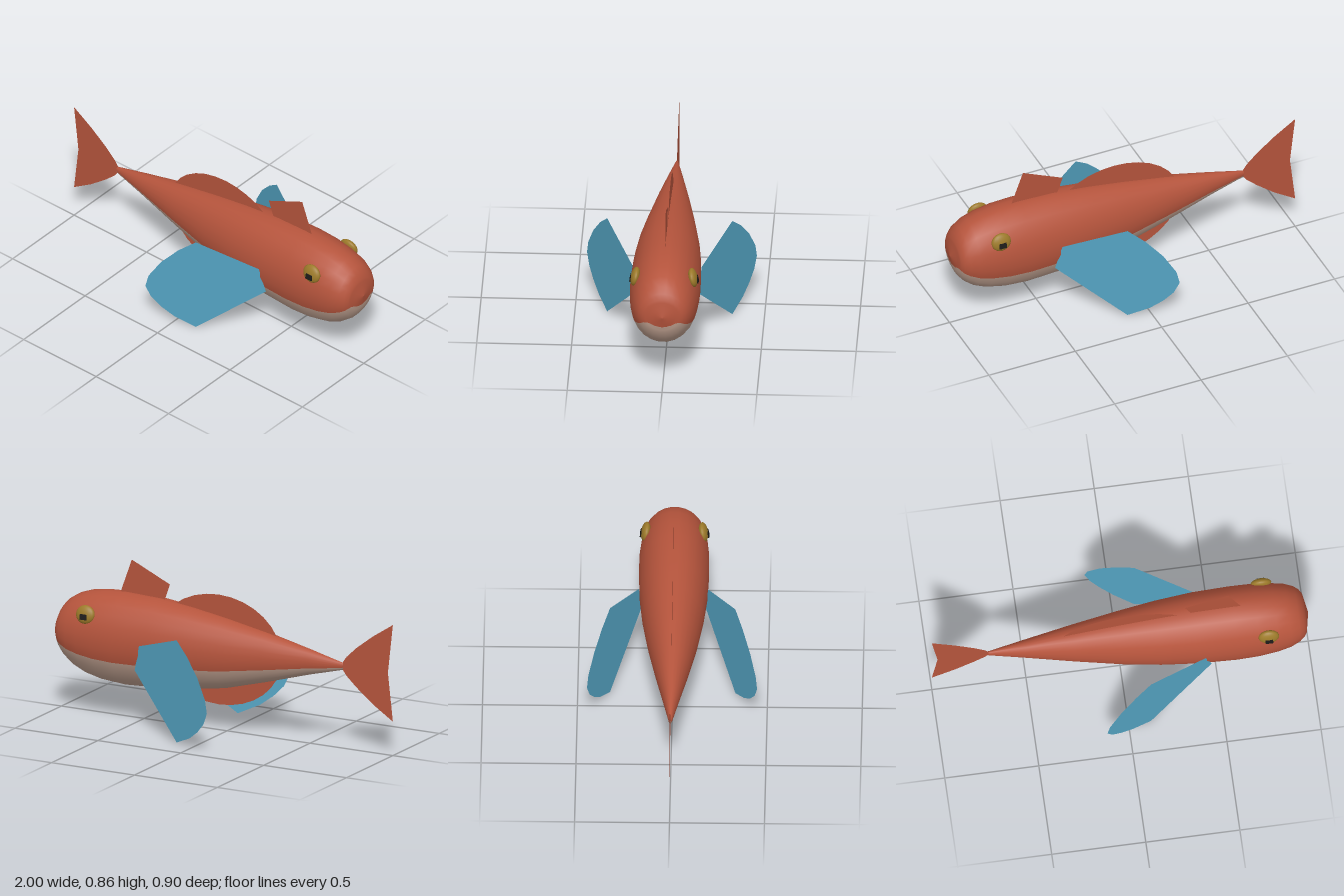
import * as THREE from 'three';

const mat = (name, color, side = THREE.FrontSide) => {
  const m = new THREE.MeshStandardMaterial({ color, side });
  m.name = name;
  return m;
};

export function createModel() {
  const fish = new THREE.Group();
  fish.name = 'fish';
  const scales = mat('red scales', 0xb5543c);
  const belly = mat('pale belly', 0xb89a8a);
  const finRed = mat('red fin', 0xb5543c, THREE.DoubleSide);
  const finBlue = mat('blue fin', 0x54a3c2, THREE.DoubleSide);
  const gold = mat('gold eye', 0x9c7a2a);
  const black = mat('black pupil', 0x1c1a18);

  const add = (name, geometry, material, parent = fish) => {
    const mesh = new THREE.Mesh(geometry, material);
    mesh.name = name;
    parent.add(mesh);
    return mesh;
  };

  // Body cross-sections: x, top, bottom, half width, angle of the belly line below horizontal
  const line = 22.5;
  const sections = [
    [-0.7, 0.448, 0.448, 0, line],
    [-0.7, 0.468, 0.43, 0.009, line],
    [-0.5, 0.515, 0.378, 0.046, line],
    [-0.25, 0.57, 0.305, 0.092, line],
    [0, 0.618, 0.238, 0.134, line],
    [0.2, 0.65, 0.207, 0.162, line],
    [0.4, 0.674, 0.187, 0.18, line],
    [0.6, 0.682, 0.178, 0.186, line],
    [0.72, 0.677, 0.188, 0.184, line],
    [0.82, 0.661, 0.212, 0.175, line],
    [0.89, 0.637, 0.245, 0.163, line],
    [0.94, 0.604, 0.286, 0.144, line],
    [0.965, 0.573, 0.318, 0.125, line],
    [0.979, 0.542, 0.35, 0.106, line],
  ];
  // Blunt nose cone, where the belly colour closes under the snout
  for (const [r, a] of [[0.85, 26], [0.75, 33], [0.68, 52], [0.64, 90], [0.35, 90], [0, 90]]) {
    sections.push([1 - 0.021 * r, 0.446 + 0.096 * r, 0.446 - 0.096 * r, 0.106 * r, a]);
  }

  const RED = 15, PALE = 9, N = RED + PALE;
  const positions = [], redFaces = [], paleFaces = [];
  for (const [x, top, bottom, half, a] of sections) {
    for (let j = 0; j < N; j++) {
      const deg = j <= RED
        ? -a + (180 + 2 * a) * j / RED
        : 180 + a + (180 - 2 * a) * (j - RED) / PALE;
      const t = THREE.MathUtils.degToRad(deg);
      positions.push(x, (top + bottom) / 2 + (top - bottom) / 2 * Math.sin(t), half * Math.cos(t));
    }
  }
  for (let i = 0; i < sections.length - 1; i++) {
    for (let j = 0; j < N; j++) {
      const k = (j + 1) % N;
      const a = i * N + j, b = a + N, c = (i + 1) * N + k, d = i * N + k;
      (j < RED ? redFaces : paleFaces).push(a, b, c, a, c, d);
    }
  }
  const bodyGeo = new THREE.BufferGeometry();
  bodyGeo.setAttribute('position', new THREE.Float32BufferAttribute(positions, 3));
  bodyGeo.setIndex([...redFaces, ...paleFaces]);
  bodyGeo.addGroup(0, redFaces.length, 0);
  bodyGeo.addGroup(redFaces.length, paleFaces.length, 1);
  bodyGeo.computeVertexNormals();
  add('body', bodyGeo, [scales, belly]);

  // Flat fins on the centre plane
  const flat = (points) =>
    new THREE.ShapeGeometry(new THREE.Shape(points.map(([x, y]) => new THREE.Vector2(x, y))));
  add('tailFin', flat([
    [-1, 0.715], [-0.97, 0.45], [-1, 0.187], [-0.88, 0.265], [-0.78, 0.345], [-0.72, 0.4],
    [-0.69, 0.44], [-0.69, 0.46], [-0.72, 0.503], [-0.78, 0.56], [-0.88, 0.637],
  ]), finRed);
  add('frontDorsalFin', flat([[0.345, 0.755], [0.4, 0.6], [0.67, 0.6], [0.575, 0.86]]), finRed);
  const disc = new THREE.CircleGeometry(1, 32);
  disc.scale(0.38, 0.3, 1);
  disc.translate(0.05, 0.44, 0);
  add('backAndAnalFin', disc, finRed);

  // Side fins sweep outward towards the tail; eyes sit high on the head
  const finOutline = [
    [0.12, 0.56], [0.43, 0.45], [0.465, 0.31], [0.12, 0.002], [0.015, 0.05], [-0.05, 0.1],
    [-0.1, 0.155], [-0.128, 0.22], [-0.113, 0.29], [-0.05, 0.395], [0.035, 0.49],
  ];
  for (const [side, s] of [['right', 1], ['left', -1]]) {
    const geo = flat(finOutline);
    const p = geo.attributes.position;
    for (let i = 0; i < p.count; i++) p.setZ(i, s * (0.33 - 0.475 * (p.getX(i) - 0.12)));
    geo.computeVertexNormals();
    add(side + 'SideFin', geo, finBlue);

    const eye = new THREE.Group();
    eye.name = side + 'Eye';
    eye.position.set(0.77, 0.57, s * 0.152);
    eye.rotation.x = -s * 0.22;
    fish.add(eye);
    add('eyeball', new THREE.SphereGeometry(1, 20, 14), gold, eye).scale.set(0.055, 0.05, 0.024);
    add('pupil', new THREE.BoxGeometry(0.04, 0.03, 0.009), black, eye).position.set(0, -0.014, s * 0.021);
  }
  return fish;
}
